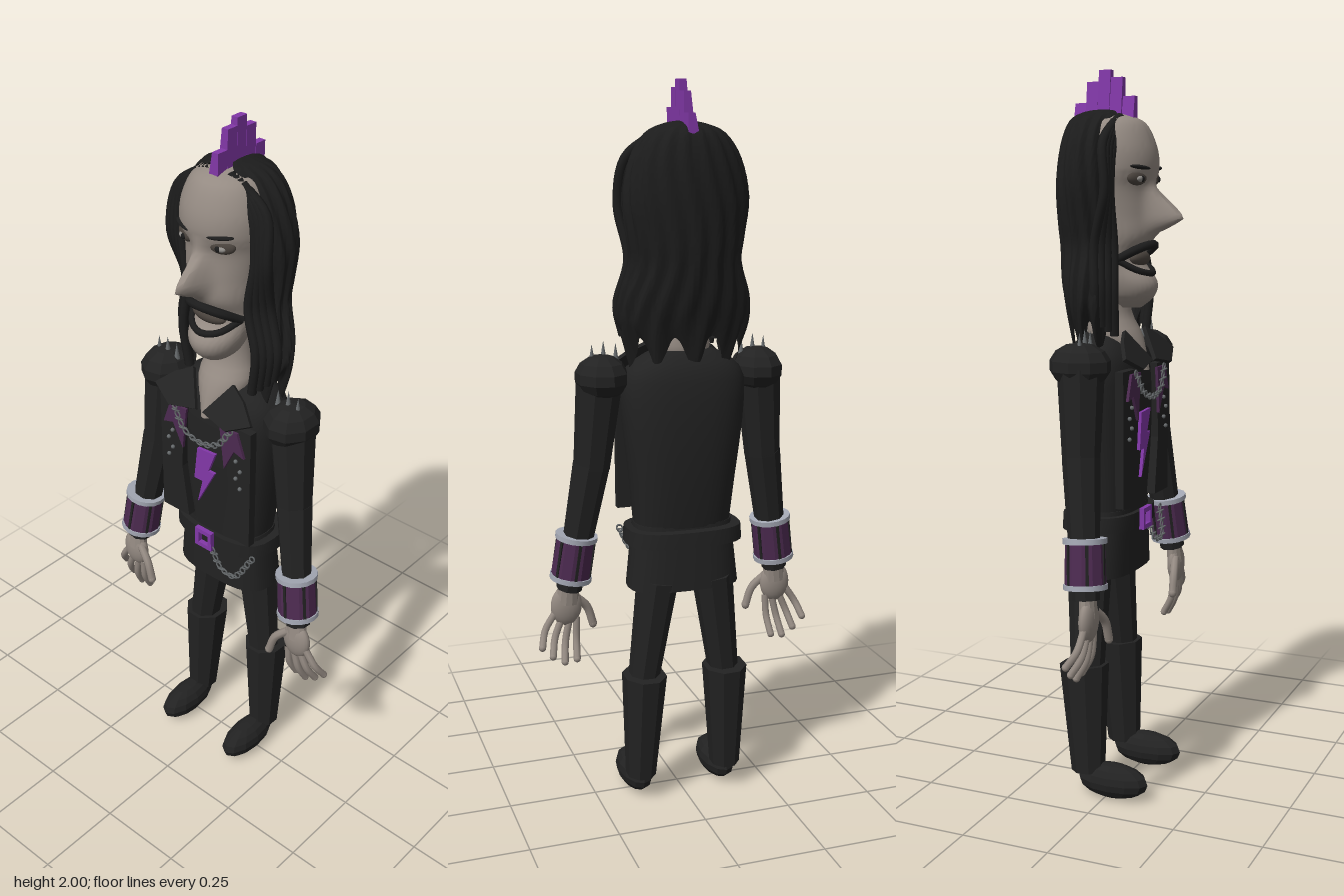
import * as THREE from 'three';
import { mergeVertices, toCreasedNormals } from 'three/addons/utils/BufferGeometryUtils.js';

const V = (x, y, z) => new THREE.Vector3(x, y, z);

export function createModel() {
  const root = new THREE.Group();
  root.name = 'rocker';
  const mat = (name, color, side = THREE.FrontSide) =>
    Object.assign(new THREE.MeshStandardMaterial({ color, side }), { name });
  const skin = mat('skin', 0x948a82);
  const hairMat = mat('hair black', 0x1c1c1c, THREE.DoubleSide);
  const cloth = mat('cloth black', 0x222222, THREE.DoubleSide);
  const purple = mat('bright purple', 0x8238a8);
  const plum = mat('dark plum', 0x4c2a50);
  const silver = mat('silver', 0xa4a8b4);
  const steel = mat('dull steel', 0x666a6c);
  const shade = mat('eye shade', 0x4c453f);
  const eyeMat = mat('eye', 0x8f8c88);

  const add = (name, geo, material, parent = root) => {
    const m = new THREE.Mesh(geo, material);
    m.name = name;
    parent.add(m);
    return m;
  };
  const flat = g => toCreasedNormals(g, 0.02);

  // Skin of rings [y, halfWidth, zFront, zBack], listed top to bottom; angle 0 faces +z
  function loft(rows, n, { sub = 1, arc = 0, open = false, mod = null, crease = 0.9, pow = 1 } = {}) {
    const cr = (a, b, c, d, t) => 0.5 * (2 * b + (c - a) * t + (2 * a - 5 * b + 4 * c - d) * t * t
      + (3 * b - a - 3 * c + d) * t * t * t);
    const rings = [];
    for (let i = 0; i < rows.length - 1; i++) {
      const [a, b, c, d] = [rows[Math.max(i - 1, 0)], rows[i], rows[i + 1], rows[Math.min(i + 2, rows.length - 1)]];
      for (let k = 0; k < sub; k++) rings.push(b.map((_, q) => cr(a[q], b[q], c[q], d[q], k / sub)));
    }
    rings.push(rows[rows.length - 1]);
    if (!open) {
      const close = ([y, , f, b]) => [y, 0, (f + b) / 2, (f + b) / 2];
      rings.unshift(close(rings[0]));
      rings.push(close(rings[rings.length - 1]));
    }
    const pos = [], idx = [], bend = v => Math.sign(v) * Math.abs(v) ** pow;
    rings.forEach(([y, w, f, b], i) => {
      const a0 = arc * (0.7 + 0.6 * i / rings.length);
      for (let j = 0; j <= n; j++) {
        const t = a0 + (j / n) * (Math.PI * 2 - 2 * a0);
        const p = V(w * bend(Math.sin(t)), y, (f + b) / 2 + (f - b) / 2 * bend(Math.cos(t)));
        if (mod) mod(p, t, (f + b) / 2);
        pos.push(p.x, p.y, p.z);
        if (i < rings.length - 1 && j < n) {
          const q = i * (n + 1) + j, r = q + n + 1;
          idx.push(q, r, q + 1, q + 1, r, r + 1);
        }
      }
    });
    const g = new THREE.BufferGeometry();
    g.setAttribute('position', new THREE.Float32BufferAttribute(pos, 3));
    g.setIndex(idx);
    return toCreasedNormals(mergeVertices(g, 1e-5), crease);
  }
  // Faceted tapered limb between two points, stretched in depth
  function limb(name, a, b, ra, rb, material, sides = 8, depth = 1) {
    const m = add(name, flat(new THREE.CylinderGeometry(ra, rb, a.distanceTo(b), sides)
      .rotateY(Math.PI / sides)), material);
    m.position.copy(a).add(b).multiplyScalar(0.5);
    m.quaternion.setFromUnitVectors(V(0, 1, 0), a.clone().sub(b).normalize());
    m.scale.z = depth;
    return m;
  }
  const ball = (name, c, s, material, w = 20, h = 14) => {
    const m = add(name, new THREE.SphereGeometry(1, w, h), material);
    m.position.set(...c);
    m.scale.set(...s);
    return m;
  };
  const tube = (name, pts, r, material, seg = 16) =>
    add(name, new THREE.TubeGeometry(new THREE.CatmullRomCurve3(pts), seg, r, 8), material);
  const plate = (name, pts, z, depth, material) => {
    const shape = new THREE.Shape(pts.map(p => new THREE.Vector2(...p)));
    const m = add(name, new THREE.ExtrudeGeometry(shape, { depth, bevelEnabled: false }), material);
    m.position.z = z;
    return m;
  };
  // Links turned alternately along a curve
  function chain(name, pts, count, r) {
    const g = new THREE.Group(), c = new THREE.CatmullRomCurve3(pts);
    g.name = name;
    root.add(g);
    for (let i = 0; i < count; i++) {
      const u = i / (count - 1), l = add('link', new THREE.TorusGeometry(r, r * 0.3, 5, 10), steel, g);
      l.position.copy(c.getPointAt(u));
      const t = c.getTangentAt(u);
      l.rotation.set(i % 2 ? 1.1 : 0, 0, Math.atan2(t.y, t.x));
      l.scale.x = 1.3;
    }
  }

  // Head with a long pointed nose
  const noseRows = [[1.73, 0], [1.69, 0.018], [1.64, 0.07], [1.61, 0.095], [1.59, 0.06], [1.57, 0.015], [1.55, 0]];
  const noseAt = y => {
    for (let i = 0; i < noseRows.length - 1; i++) {
      const [y0, a] = noseRows[i], [y1, b] = noseRows[i + 1];
      if (y <= y0 && y >= y1) return a + (b - a) * (y0 - y) / (y0 - y1);
    }
    return 0;
  };
  add('head', loft([
    [1.882, 0.04, 0.005, -0.09], [1.86, 0.09, 0.055, -0.11], [1.8, 0.118, 0.085, -0.13], [1.74, 0.122, 0.092, -0.135],
    [1.69, 0.115, 0.076, -0.13], [1.62, 0.105, 0.08, -0.13], [1.56, 0.098, 0.082, -0.12], [1.5, 0.09, 0.052, -0.1],
    [1.44, 0.078, 0.092, -0.08], [1.4, 0.06, 0.085, -0.06], [1.37, 0.03, 0.05, -0.05],
  ], 72, { sub: 5, crease: 1.5, mod: (p, t, zc) => {
    if (p.z > zc) p.z += noseAt(p.y) * Math.exp(-((p.x / 0.024) ** 2));
  } }), skin);
  add('neck', loft([[1.46, 0.065, 0.02, -0.1], [1.36, 0.066, 0.015, -0.095], [1.29, 0.08, 0.05, -0.1],
    [1.2, 0.025, 0.075, -0.05]], 24, { sub: 3 }), skin);
  for (const s of [-1, 1]) {
    ball('eyeSocket', [s * 0.06, 1.715, 0.062], [0.034, 0.02, 0.014], shade).rotation.y = s * 0.4;
    ball('eye', [s * 0.058, 1.712, 0.07], [0.018, 0.009, 0.01], eyeMat);
    ball('pupil', [s * 0.056, 1.712, 0.077], [0.008, 0.008, 0.005], hairMat);
    ball('brow', [s * 0.06, 1.742, 0.072], [0.036, 0.006, 0.012], hairMat).rotation.set(0, s * 0.4, s * 0.08);
  }
  ball('mouth', [0, 1.502, 0.045], [0.055, 0.022, 0.022], shade);
  tube('moustache', [V(-0.08, 1.5, 0.01), V(-0.05, 1.53, 0.065), V(0, 1.54, 0.083), V(0.05, 1.53, 0.065), V(0.08, 1.5, 0.01)], 0.012, hairMat);
  tube('beard', [V(-0.08, 1.5, 0.01), V(-0.045, 1.47, 0.062), V(0, 1.462, 0.08), V(0.045, 1.47, 0.062), V(0.08, 1.5, 0.01)], 0.009, hairMat);

  // Long wavy hair, open at the front
  add('hair', loft([
    [1.897, 0, -0.06, -0.062], [1.89, 0.05, -0.01, -0.11], [1.865, 0.105, 0.012, -0.145], [1.8, 0.147, 0.02, -0.163],
    [1.7, 0.168, 0.02, -0.17], [1.6, 0.158, 0.018, -0.168], [1.53, 0.152, 0.02, -0.162], [1.44, 0.178, 0.03, -0.15],
    [1.37, 0.18, 0.028, -0.135], [1.3, 0.155, 0.015, -0.12],
  ], 150, { sub: 4, arc: 0.62, open: true, crease: 1.2, mod: (p, t, zc) => {
    const k = 1 + 0.035 * Math.sin(17 * t + 2.2 * Math.sin(p.y * 11));
    p.x *= k;
    p.z = zc + (p.z - zc) * k;
    if (p.y < 1.4) p.y += (1.4 - p.y) * 0.4 * Math.sin(9 * t + 1);
  } }), hairMat);
  for (const s of [-1, 1]) for (let i = 0; i < 4; i++) {
    const d = i * 0.013, lean = s > 0 ? 0.02 : 0;
    tube('hairLock', [V(s * (0.03 + d), 1.875 - d * 0.4, 0), V(s * (0.105 + d), 1.8, 0.012 - d * 0.3), V(s * (0.122 + d), 1.68, 0.012),
      V(s * (0.105 + d), 1.54, 0.015 - d), V(s * (0.115 + d) + lean, 1.42, 0.02 - d), V(s * (0.1 + d) + lean, 1.3 + d, 0.015 - d)],
    0.013, hairMat, 30);
  }
  // Mohawk
  [1.93, 1.98, 2, 1.97, 1.915].forEach((top, i) => {
    const g = new THREE.BoxGeometry(0.032, top - 1.85, 0.034), p = g.attributes.position;
    for (let v = 0; v < p.count; v++) if (p.getY(v) > 0) p.setX(v, p.getX(v) * 0.6 + 0.008);
    g.computeVertexNormals();
    add('mohawkSpike', g, purple).position.set(0, (top + 1.85) / 2, 0.014 - i * 0.035);
  });

  // Jacket body, belt and skirt
  add('jacket', loft([[1.3, 0.08, 0.0, -0.1], [1.27, 0.135, 0.025, -0.125], [1.22, 0.17, 0.05, -0.143], [1.1, 0.166, 0.055, -0.15],
    [0.95, 0.148, 0.052, -0.14], [0.81, 0.135, 0.045, -0.12]], 28, { sub: 2, pow: 0.75 }), cloth);
  add('skirt', loft([[0.82, 0.138, 0.045, -0.12], [0.635, 0.158, 0.045, -0.13]], 24, { pow: 0.7, crease: 0.5 }), cloth);
  add('belt', loft([[0.808, 0.162, 0.06, -0.15], [0.765, 0.165, 0.06, -0.152]], 24, { pow: 0.7, crease: 0.5 }), cloth);
  const buckle = new THREE.Shape([[-0.03, -0.03], [0.03, -0.03], [0.03, 0.03], [-0.03, 0.03]].map(p => new THREE.Vector2(...p)));
  buckle.holes.push(new THREE.Path([[-0.017, -0.017], [-0.017, 0.017], [0.017, 0.017], [0.017, -0.017]].map(p => new THREE.Vector2(...p))));
  add('buckle', new THREE.ExtrudeGeometry(buckle, { depth: 0.014, bevelEnabled: false }), purple).position.set(-0.004, 0.787, 0.06);
  plate('bolt', [[-0.03, 1.085], [0.035, 1.09], [0.01, 1.025], [0.032, 1.025], [-0.03, 0.905], [-0.012, 0.982], [-0.042, 0.982]], 0.056, 0.009, purple);
  chain('necklace', [V(-0.1, 1.2, 0.078), V(-0.06, 1.145, 0.085), V(0, 1.128, 0.088), V(0.06, 1.145, 0.085), V(0.1, 1.2, 0.078)], 21, 0.008);
  chain('beltChain', [V(0.025, 0.76, 0.066), V(0.06, 0.715, 0.07), V(0.11, 0.71, 0.07), V(0.155, 0.78, 0.045)], 17, 0.008);

  for (const s of [-1, 1]) {
    const P = (x, y, z) => V(s * x, y, z), flip = pts => pts.map(([x, y]) => [s * x, y]);
    // Front panels, lapels and collar points
    plate('jacketPanel', flip([[0.075, 1.21], [0.162, 1.21], [0.16, 0.84], [0.062, 0.84], [0.085, 1.0]]), 0.043, 0.024, cloth);
    plate('lapel', flip([[0.06, 1.2], [0.12, 1.2], [0.145, 1.13], [0.11, 1.14], [0.075, 1.07]]), 0.067, 0.008, plum);
    const collar = plate('collar', flip([[0.012, -0.08], [0.1, -0.1], [0.17, -0.06], [0.12, -0.01], [0.07, 0.02]]), 0.035, 0.012, cloth);
    collar.position.y = 1.29;
    collar.rotation.x = -0.6;
    for (let i = 0; i < 4; i++) ball('stud', [s * (0.115 + (i % 2) * 0.015), 1.11 - i * 0.028, 0.072], [0.006, 0.006, 0.006], steel, 8, 6);

    // Padded shoulder with spikes
    const pad = add('shoulderPad', flat(new THREE.SphereGeometry(1, 9, 7)), cloth);
    pad.position.set(s * 0.222, 1.23, -0.03);
    pad.scale.set(0.073, 0.062, 0.086);
    [0.18, 0.214, 0.246].forEach((x, i) => {
      const c = add('spike', new THREE.ConeGeometry(0.009, 0.05, 8), steel);
      c.position.set(s * x, 1.302 - (i === 1 ? 0 : 0.008), -0.02);
    });
    // Arm and cuff
    limb('upperArm', P(0.228, 1.22, -0.025), P(0.25, 0.98, -0.015), 0.063, 0.05, cloth);
    limb('forearm', P(0.25, 0.99, -0.015), P(0.31, 0.625, 0.025), 0.051, 0.036, cloth);
    const top = P(0.288, 0.785, 0.012), end = P(0.306, 0.655, 0.022);
    const cuff = limb('cuff', top, end, 0.053, 0.056, plum, 12);
    for (let i = 0; i < 6; i++) {
      const a = i * Math.PI / 3, bar = add('cuffBar', new THREE.BoxGeometry(0.008, 0.115, 0.006), cloth, cuff);
      bar.position.set(Math.sin(a) * 0.053, 0, Math.cos(a) * 0.053);
      bar.rotation.y = a;
    }
    for (const y of [0.06, -0.06]) {
      const rim = add('cuffRim', new THREE.CylinderGeometry(0.059, 0.059, 0.014, 16), silver, cuff);
      rim.position.y = y;
    }
    // Hand with spread fingers
    ball('palm', [s * 0.316, 0.572, 0.035], [0.045, 0.058, 0.022], skin);
    limb('wrist', P(0.308, 0.66, 0.028), P(0.314, 0.58, 0.034), 0.028, 0.034, skin, 12, 0.7);
    [[0.287, 0.535, 0.29, 0.47, 0.295, 0.42], [0.308, 0.53, 0.322, 0.465, 0.33, 0.415], [0.33, 0.535, 0.352, 0.48, 0.364, 0.435],
      [0.348, 0.555, 0.38, 0.505, 0.394, 0.465]].forEach(([a, b, c, d, e, f]) => {
      tube('finger', [P(a, b, 0.036), P(c, d, 0.03), P(e, f, 0.005)], 0.0105, skin);
      ball('fingertip', [s * e, f, 0.005], [0.0105, 0.0105, 0.0105], skin, 10, 8);
    });
    tube('thumb', [P(0.29, 0.595, 0.042), P(0.252, 0.555, 0.053), P(0.234, 0.502, 0.056)], 0.012, skin);
    ball('thumbTip', [s * 0.234, 0.502, 0.056], [0.012, 0.014, 0.012], skin, 10, 8);

    // Leg, boot and shoe
    limb('thigh', P(0.08, 0.66, -0.07), P(0.12, 0.36, -0.06), 0.058, 0.043, cloth, 8, 1.1);
    limb('boot', P(0.12, 0.38, -0.07), P(0.128, 0.07, -0.055), 0.063, 0.043, cloth, 8, 1.12);
    const shoe = add('shoe', flat(new THREE.SphereGeometry(1, 12, 8)), cloth);
    shoe.position.set(s * 0.126, 0.05, 0.02);
    shoe.scale.set(0.047, 0.05, 0.105);
  }
  return root;
}
